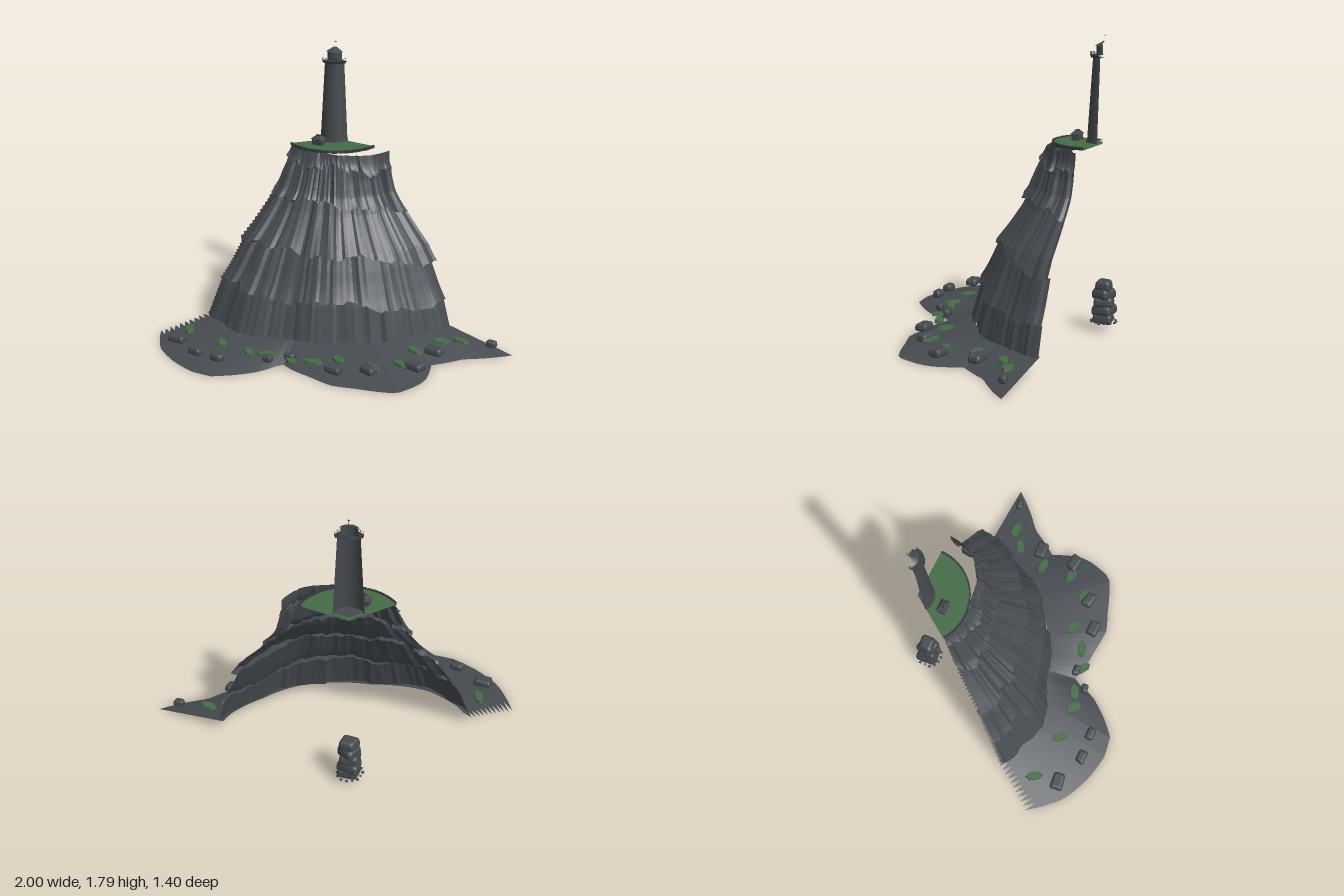
import * as THREE from 'three';
import { RoundedBoxGeometry } from 'three/addons/geometries/RoundedBoxGeometry.js';

const DEG = Math.PI / 180, CX = -0.33, CZ = -0.6, SWEEP = 124;

const mat = (name, color) => {
  const m = new THREE.MeshStandardMaterial({ color, flatShading: true, side: THREE.DoubleSide });
  m.name = name;
  return m;
};

const hash = (a, b = 0) => {
  const s = Math.sin(a * 127.1 + b * 311.7 + 4.7) * 43758.5453;
  return s - Math.floor(s);
};

// Linear lookup in a list of [key, value] pairs
function lookup(list, k) {
  for (let i = 1; i < list.length; i++) {
    const [k0, v0] = list[i - 1], [k1, v1] = list[i];
    if (k <= k1) return v0 + (v1 - v0) * Math.max(0, (k - k0) / (k1 - k0));
  }
  return list[list.length - 1][1];
}

// Sector surface; the last column is cut to single triangles, leaving a saw edge
function sectorGrid(angles, rows, point) {
  const pos = [], idx = [], n = rows + 1;
  angles.forEach((a, i) => {
    for (let j = 0; j <= rows; j++) {
      const [r, y] = point(a, j, i);
      pos.push(CX + r * Math.cos(a * DEG), y, CZ + r * Math.sin(a * DEG));
    }
  });
  for (let i = 0; i < angles.length - 1; i++) {
    for (let j = 0; j < rows; j++) {
      const a = i * n + j;
      idx.push(a, a + 1, a + n);
      if (i < angles.length - 2) idx.push(a + 1, a + n + 1, a + n);
    }
  }
  const g = new THREE.BufferGeometry();
  g.setAttribute('position', new THREE.Float32BufferAttribute(pos, 3));
  g.setIndex(idx);
  g.computeVertexNormals();
  return g;
}

const sweepAngles = (steps, tooth) => {
  const a = [];
  for (let i = 0; i <= steps; i++) a.push((i / steps) * (SWEEP - tooth));
  return [...a, SWEEP];
};

// Cliff radius by height, at the right cut and on the left half
const RIGHT = [[0.06, 0.88], [0.2, 0.84], [0.3, 0.81], [0.4, 0.775], [0.5, 0.735], [0.6, 0.69], [0.7, 0.605], [0.8, 0.52],
  [0.9, 0.465], [1, 0.44], [1.15, 0.42]];
const LEFT = [[0.06, 0.87], [0.3, 0.77], [0.5, 0.67], [0.6, 0.61], [0.7, 0.54], [0.8, 0.47], [0.9, 0.41], [1, 0.375], [1.15, 0.3]];
// Foot of the cliff: angle in degrees, radius
const FOOT = [[0, 0.88], [6, 0.875], [22, 0.82], [33, 0.81], [43, 0.8], [60, 0.77], [75, 0.765], [85, 0.8], [101, 0.867],
  [116, 0.885], [124, 0.87]];
const cliffRadius = (a, y) => {
  const t = THREE.MathUtils.smoothstep(a, 0, 85), mix = (h) => lookup(RIGHT, h) * (1 - t) + lookup(LEFT, h) * t;
  return mix(y) + (lookup(FOOT, a) - mix(0.06)) * Math.max(0, 1 - y / 0.95);
};

// Shore outline: angle in degrees, radius
const SHORE = [[0, 1.33], [11.2, 1.13], [22, 1.07], [28.7, 1.21], [32.3, 1.25], [39.1, 1.3], [49.4, 1.2], [55.9, 1.16],
  [63.2, 1.06], [69.6, 1], [74.6, 0.94], [79.3, 1.08], [84.7, 1.185], [90, 1.28], [96.1, 1.307], [104.3, 1.3],
  [112.6, 1.278], [119.3, 1.227], [124, 1.19]];

export function createModel() {
  const rock = mat('rock', 0x474c51), stone = mat('boulder stone', 0x454a4f);
  const grass = mat('grass', 0x426b44), tower = mat('tower grey', 0x454a4e), dark = mat('dark trim', 0x373b3f);
  const root = new THREE.Group();
  root.name = 'lighthouseCliff';
  const add = (name, geo, m, x = 0, y = 0, z = 0, parent = root) => {
    const mesh = new THREE.Mesh(geo, m);
    mesh.name = name;
    mesh.position.set(x, y, z);
    parent.add(mesh);
    return mesh;
  };

  // Cliff wall: five strata that dip towards the right cut, each flaring over the one below
  const LEVELS = [0.083, 0.32, 0.59, 0.87, 1.07, 1.15], PER = 14;
  const levelY = (k, a, i) => {
    if (k === 0 || k === 5) return LEVELS[k];
    const dip = (k < 4 ? 0.08 : 0.03) * (1 - THREE.MathUtils.smoothstep(a, 0, 55));
    const slant = 0.016 * ((i % 5) / 4 - 0.5);
    return LEVELS[k] - dip + slant + 0.016 * (Math.sin(a * 0.11 + k * 2) + 0.6 * Math.sin(a * 0.29 + k));
  };
  add('cliffWall', sectorGrid(sweepAngles(72, 2), 5 * (PER + 1) - 1, (a, j, i) => {
    const layer = Math.floor(j / (PER + 1)), t = (j % (PER + 1)) / PER;
    const y = THREE.MathUtils.lerp(levelY(layer, a, i), levelY(layer + 1, a, i), t);
    const calm = y > 1 ? 1 - (y - 1) * 5 : 1;
    const shelf = layer === 0 ? 0 : 0.028 * Math.pow(1 - t, 3) - 0.008;
    const col = Math.floor((i + layer * 2) / 4);
    const block = (hash(col, layer) - 0.5) * 0.034 + Math.sin(a * 0.21 + layer) * 0.006;
    const chip = (hash(i, layer + 20) - 0.5) * 0.008;
    return [cliffRadius(a, y) + (shelf + block + chip) * calm, y];
  }), rock);

  // Sloping shore around the foot
  const ROWS = 11;
  add('shore', sectorGrid(sweepAngles(60, 4), ROWS, (a, j) => {
    const t = j / ROWS;
    return [THREE.MathUtils.lerp(lookup(SHORE, a), cliffRadius(a, 0.085) - 0.015, t), 0.087 * t];
  }), rock);

  // Chamfered, slightly uneven rocks
  const chunk = (w, h, d, seed) => {
    const g = new RoundedBoxGeometry(w, h, d, 2, Math.min(w, h, d) * 0.36), p = g.attributes.position;
    for (let i = 0; i < p.count; i++) {
      const x = p.getX(i), y = p.getY(i), z = p.getZ(i);
      const k = 1 + 0.1 * Math.sin((x / w) * 5 + seed) * Math.cos((z / d) * 4 + seed * 2) - 0.12 * (y / h);
      p.setXYZ(i, x * k, y, z * k);
    }
    return g;
  };
  [[-0.75, 0.5, 1.1], [-0.54, 0.57, 0.85], [-0.38, 0.56, 0.8], [-0.12, 0.4, 0.6], [-0.03, 0.3, 0.7], [0.28, 0.28, 1.05],
    [0.45, 0.17, 1], [0.65, -0.03, 1.1], [0.64, -0.27, 1.1], [0.88, -0.55, 0.65]].forEach(([x, z, s], i) => {
    add('boulder', chunk(0.1 * s, 0.046, 0.07 * s, i), stone, x, 0.065, z).rotation.y = (hash(i) - 0.5) * 0.4;
  });

  // Grass patches on the shore
  [[-0.78, 0.35, -1], [-0.48, 0.39, -0.8], [-0.27, 0.39, -0.7], [-0.17, 0.35, 0.5], [0, 0.33, -0.6], [0.12, 0.27, 0.4],
    [0.23, 0.16, -0.5], [0.46, 0.13, -0.4], [0.56, -0.01, -0.2], [0.54, -0.21, -0.1], [0.6, -0.41, 0.5],
    [0.7, -0.49, 0]].forEach(([x, z, turn], i) => {
    const g = new THREE.CylinderGeometry(0.9, 1, 0.015, 6).rotateY(0.3 + 0.4 * hash(i, 2)).scale(0.06, 1, 0.03);
    add('grassPatch', g, grass, x, 0.06, z).rotation.y = turn;
  });

  // Everything on the summit is cut as a sector
  const summit = new THREE.Group();
  summit.name = 'summit';
  summit.position.set(CX, 0, CZ);
  root.add(summit);
  const sector = (name, rTop, rBot, y0, y1, m, { open = false, sides = 16, sweep = SWEEP } = {}) => add(name,
    new THREE.CylinderGeometry(rTop, rBot, y1 - y0, sides, 1, open, (90 - sweep) * DEG, sweep * DEG),
    m, 0, (y0 + y1) / 2, 0, summit);

  sector('grassTop', 0.297, 0.3, 1.148, 1.158, grass, { sides: 28 });
  for (let i = 0; i < 40; i++) {
    const a = ((i + 0.5) / 40) * SWEEP * DEG;
    const s = add('edgeStone', new THREE.BoxGeometry(0.01, 0.014 + 0.005 * hash(i), 0.014), dark,
      0.298 * Math.cos(a), 1.157, 0.298 * Math.sin(a), summit);
    s.rotation.y = -a;
  }

  // Lighthouse
  sector('towerFoot', 0.1, 0.102, 1.155, 1.172, tower);
  sector('towerWall', 0.068, 0.096, 1.16, 1.66, tower, { open: true, sweep: 128 });
  sector('galleryFloor', 0.086, 0.08, 1.658, 1.674, dark, { sweep: 130 });
  add('galleryRail', new THREE.TorusGeometry(0.084, 0.0012, 4, 24, 130 * DEG).rotateX(Math.PI / 2), dark, 0, 1.689, 0, summit);
  for (let i = 0; i <= 6; i++) {
    const a = (i / 6) * 130 * DEG;
    add('railPost', new THREE.CylinderGeometry(0.0012, 0.0012, 0.016, 4), dark,
      0.084 * Math.cos(a), 1.681, 0.084 * Math.sin(a), summit);
  }
  sector('lanternRoom', 0.049, 0.049, 1.674, 1.728, tower, { open: true, sides: 8, sweep: 146 });
  sector('lanternRoof', 0.006, 0.058, 1.726, 1.755, tower, { open: true, sides: 8, sweep: 140 });
  add('finialRod', new THREE.CylinderGeometry(0.0009, 0.0009, 0.034, 4), dark, 0, 1.769, 0, summit);
  add('finialVane', new THREE.BoxGeometry(0.014, 0.005, 0.002), dark, 0, 1.786, 0, summit);

  // Keeper's hut with a hipped roof and a low chimney
  add('hutWalls', new THREE.BoxGeometry(0.07, 0.038, 0.046), tower, -0.338, 1.177, -0.43);
  const hip = new THREE.CylinderGeometry(0.3, Math.SQRT1_2, 0.02, 4).rotateY(Math.PI / 4).scale(0.082, 1, 0.058);
  add('hutRoof', hip, stone, -0.338, 1.205, -0.43);
  add('hutChimney', new THREE.BoxGeometry(0.03, 0.006, 0.018), dark, -0.338, 1.217, -0.43);

  // Sea stack behind, with loose fragments
  [[0.122, 0.077], [0.128, 0.127], [0.12, 0.18], [0.116, 0.23], [0.1, 0.28]].forEach(([w, y], i) => {
    add('seaStack', chunk(w, 0.066, w * 0.95, i + 3), stone, -0.348 + (hash(i) - 0.5) * 0.012, y, -0.617)
      .rotation.y = (hash(i, 3) - 0.5) * 0.5;
  });
  for (let i = 0; i < 14; i++) {
    const a = (i / 14) * Math.PI * 2, s = 0.01 + 0.008 * hash(i, 5), r = 0.066 + 0.014 * hash(i, 8);
    add('stackFragment', chunk(s, s * 0.7, s, i), stone, -0.348 + r * Math.cos(a), 0.055, -0.617 + r * Math.sin(a));
  }
  return root;
}
